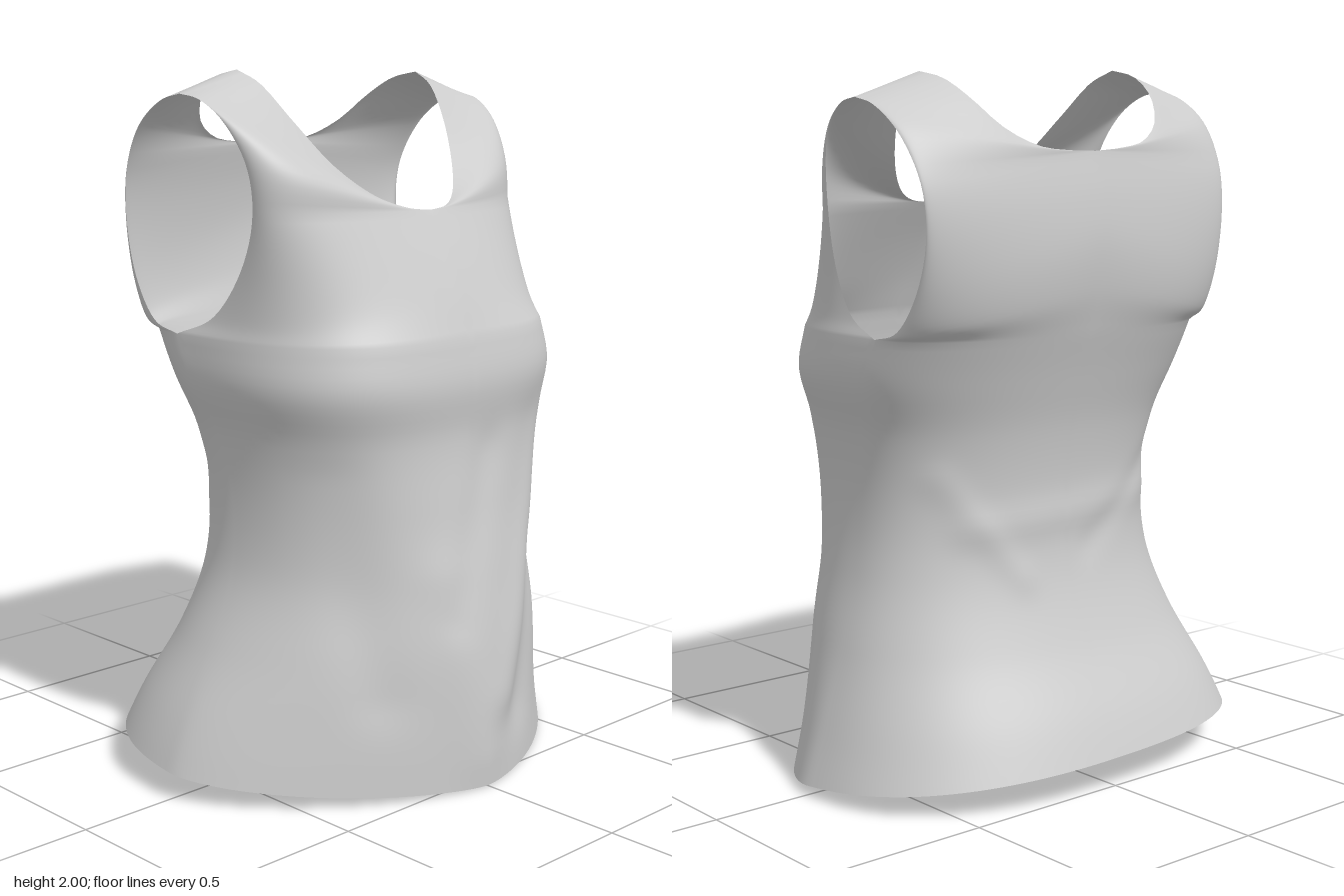
import * as THREE from 'three';
import { mergeVertices } from 'three/addons/utils/BufferGeometryUtils.js';

const V = (x, y, z) => new THREE.Vector3(x, y, z);
const curve = pts => new THREE.CatmullRomCurve3(pts.map(p => V(...p)));
const { lerp, smoothstep, clamp } = THREE.MathUtils;

// Body levels: y, half width, front z, back z, side seam z, front and back squareness
const LEVELS = [
  [0, 0.725, 0.555, -0.585, 0, 1.52, 2.5],
  [0.2, 0.655, 0.548, -0.505, 0, 1.6, 2.4],
  [0.4, 0.575, 0.532, -0.405, 0, 1.8, 2.3],
  [0.6, 0.51, 0.502, -0.34, 0, 2.0, 2.3],
  [0.8, 0.49, 0.468, -0.324, -0.01, 2.3, 2.3],
  [1.0, 0.508, 0.446, -0.345, -0.05, 2.7, 2.3],
  [1.15, 0.55, 0.46, -0.385, -0.1, 3.0, 2.4],
  [1.275, 0.552, 0.44, -0.425, -0.17, 3.0, 2.6],
];
const ARMPIT_Y = 1.275;
const levels = new THREE.CubicInterpolant(
  LEVELS.map(l => l[0]), LEVELS.flatMap(l => l.slice(1)), 6, new Float32Array(6));

// Rounded quarter arc: u = 0 gives (0, 1), u = 1 gives (1, 0); n = 1 is a straight line
function arc(u, n) {
  const sn = Math.sin(u * Math.PI / 2);
  const cs = u === 1 ? 0 : Math.cos(u * Math.PI / 2);
  const r = Math.pow(Math.pow(sn, n) + Math.pow(cs, n), -1 / n);
  return [sn * r, cs * r];
}

// Point on the body: u runs from the centre line (0) to the side seam (1)
function section(u, y, front) {
  const [w, zf, zb, s, nf, nb] = levels.evaluate(clamp(y, 0, ARMPIT_Y));
  const [a, b] = arc(u, front ? nf : nb);
  return V(w * a, y, lerp(s, front ? zf : zb, b));
}

// Body panel from the sloping hem to the armpit
function lower(u, v, front) {
  const hem = 0.05 - 0.09 * section(u, 0.05, front).z;
  return section(u, lerp(hem, ARMPIT_Y, v), front);
}

// Borders of the upper panels; neckAt is the share of the rows below the neckline
const NECK_CORNER = [0.38, 1.99, -0.125];
const ARMPIT = [0.552, ARMPIT_Y, -0.17];
const SHOULDER = [0.6, 1.925, -0.12];
const FRONT = {
  neckAt: 0.45, square: 3.0,
  centre: curve([[0, ARMPIT_Y, 0.44], [0, 1.39, 0.395], [0, 1.5, 0.343], [0, 1.615, 0.28]]),
  neck: curve([[0, 1.615, 0.28], [0.08, 1.622, 0.268], [0.17, 1.655, 0.22],
    [0.26, 1.735, 0.14], [0.33, 1.86, 0.04], [0.365, 1.955, -0.05], NECK_CORNER]),
  arm: curve([ARMPIT, [0.535, 1.33, -0.04], [0.527, 1.45, 0.05], [0.533, 1.6, 0.095],
    [0.555, 1.75, 0.085], [0.582, 1.86, 0.025], [0.595, 1.912, -0.05], SHOULDER]),
};
const BACK = {
  neckAt: 0.6, square: 2.6,
  centre: curve([[0, ARMPIT_Y, -0.425], [0, 1.4, -0.457], [0, 1.53, -0.47], [0, 1.65, -0.46], [0, 1.77, -0.435]]),
  neck: curve([[0, 1.77, -0.435], [0.1, 1.775, -0.432], [0.2, 1.79, -0.42],
    [0.29, 1.84, -0.38], [0.345, 1.915, -0.31], [0.37, 1.97, -0.22], NECK_CORNER]),
  arm: curve([ARMPIT, [0.553, 1.3, -0.265], [0.555, 1.4, -0.345], [0.56, 1.55, -0.39],
    [0.572, 1.7, -0.38], [0.588, 1.83, -0.305], [0.597, 1.905, -0.2], SHOULDER]),
};

// Chest or back panel: rows from the centre line, then the neckline, to the armhole
function upper(u, v, front) {
  const p = front ? FRONT : BACK;
  const start = v < p.neckAt ? p.centre.getPoint(v / p.neckAt)
    : p.neck.getPoint((v - p.neckAt) / (1 - p.neckAt));
  const end = p.arm.getPoint(v);
  const [a, b] = arc(u, lerp(p.square, 1, v));
  return V(lerp(start.x, end.x, a), lerp(start.y, end.y, a), lerp(end.z, start.z, b));
}

// Soft folds: side (1 front, -1 back), x0, y0, x1, y1, width, outward amount
const FOLDS = [
  [1, 0.42, 1.0, 0.1, 0.25, 0.07, 0.016],
  [1, 0.36, 0.6, 0.2, 0.2, 0.09, -0.02],
  [1, 0.1, 0.95, -0.08, 0.5, 0.06, -0.008],
  [1, -0.38, 0.9, -0.3, 0.3, 0.08, -0.012],
  [1, -0.1, 0.6, -0.02, 0.1, 0.09, 0.01],
  [-1, -0.35, 0.78, 0.35, 0.74, 0.05, 0.008],
  [-1, -0.4, 0.9, -0.05, 0.66, 0.045, -0.006],
  [-1, 0.42, 0.88, 0.2, 0.6, 0.045, 0.007],
];
function drape(p) {
  // The garment leans and twists slightly towards the shoulders
  const x = p.x, twist = smoothstep(p.y, 1.2, 1.75);
  p.z -= (0.08 + 0.1 * p.z) * x * twist;
  p.y -= 0.025 * x * twist + 0.035 * x * (1 - smoothstep(p.y, 0, 0.5));
  p.x += 0.034 * smoothstep(p.y, 0.1, 0.65);
  for (const [side, x0, y0, x1, y1, width, amount] of FOLDS) {
    const dx = x1 - x0, dy = y1 - y0;
    const t = clamp(((p.x - x0) * dx + (p.y - y0) * dy) / (dx * dx + dy * dy), 0, 1);
    const d = Math.hypot(p.x - x0 - t * dx, p.y - y0 - t * dy) / width;
    p.z += side * amount * Math.exp(-d * d) * clamp(p.z * side / 0.2, 0, 1);
  }
  return p;
}

// Adds one patch of the surface, mirrored when side is -1
function addPatch(pos, idx, fn, nu, nv, front, side) {
  const base = pos.length / 3;
  for (let j = 0; j <= nv; j++) {
    for (let i = 0; i <= nu; i++) {
      const p = fn(i / nu, j / nv, front);
      p.x *= side;
      pos.push(...drape(p).toArray());
    }
  }
  const outward = front === (side > 0);
  for (let j = 0; j < nv; j++) {
    for (let i = 0; i < nu; i++) {
      const a = base + j * (nu + 1) + i, b = a + 1, c = a + nu + 1, d = c + 1;
      if (outward) idx.push(a, b, d, a, d, c);
      else idx.push(a, d, b, a, c, d);
    }
  }
}

export function createModel() {
  const group = new THREE.Group();
  group.name = 'sleevelessTop';
  const pos = [], idx = [];
  for (const side of [1, -1]) {
    for (const front of [true, false]) {
      addPatch(pos, idx, lower, 40, 48, front, side);
      addPatch(pos, idx, upper, 40, 40, front, side);
    }
  }
  let geometry = new THREE.BufferGeometry();
  geometry.setAttribute('position', new THREE.Float32BufferAttribute(pos, 3));
  geometry.setIndex(idx);
  geometry = mergeVertices(geometry, 1e-4);
  geometry.computeVertexNormals();

  const cloth = new THREE.MeshStandardMaterial({ color: 0xcccccc, side: THREE.DoubleSide });
  cloth.name = 'light grey cloth';
  const top = new THREE.Mesh(geometry, cloth);
  top.name = 'tankTop';
  group.add(top);
  return group;
}
